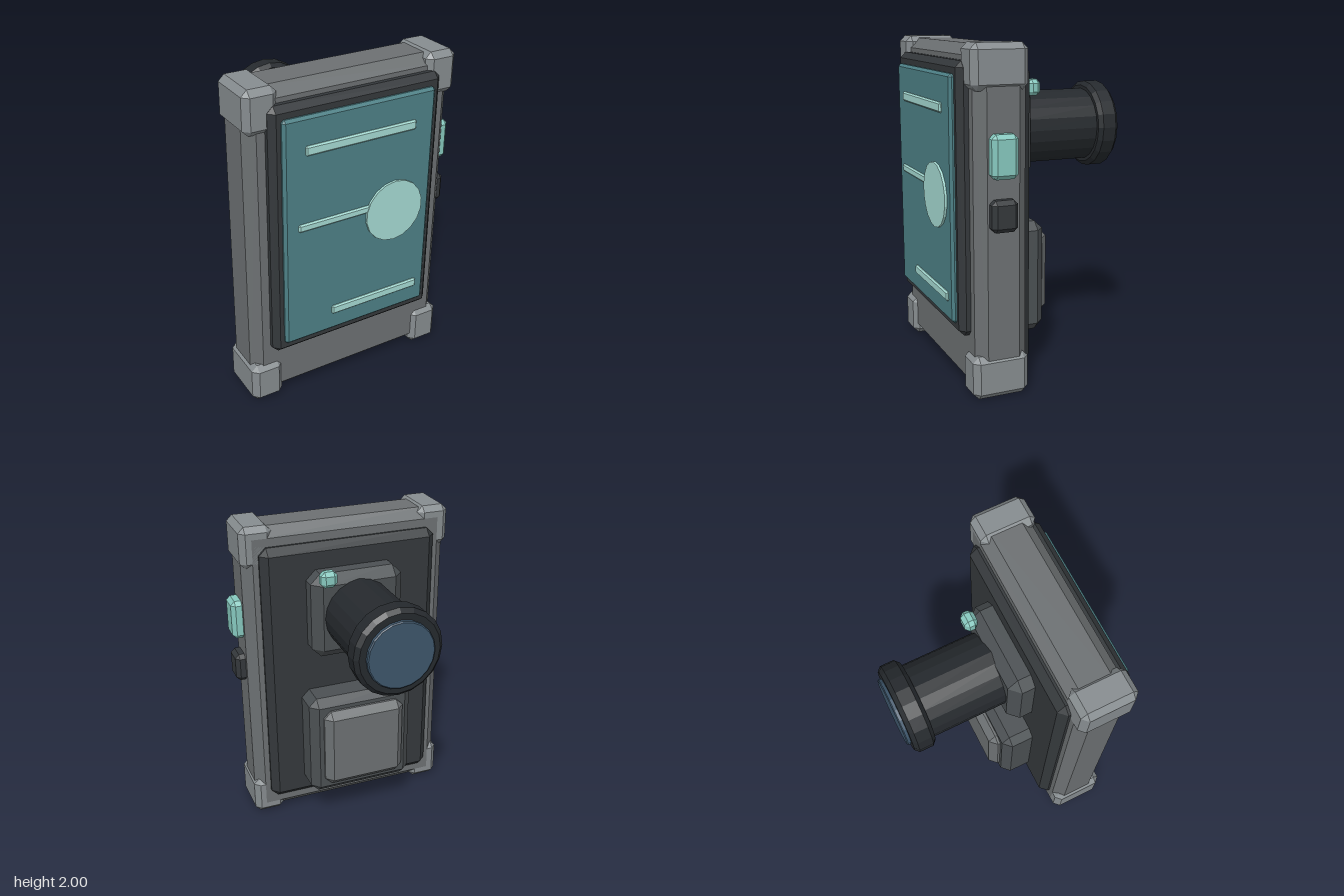
import * as THREE from 'three';
import { ConvexGeometry } from 'three/addons/geometries/ConvexGeometry.js';

const mat = (color) => new THREE.MeshStandardMaterial({ color, flatShading: true });

export function createModel() {
  const model = new THREE.Group();
  const body = mat(0x6c7072), corner = mat(0x868c8f), dark = mat(0x34383b), mid = mat(0x4b5053);
  const black = mat(0x25292d), screenTeal = mat(0x4d8086), mint = mat(0x86c8be), pale = mat(0xa5dad2), glass = mat(0x3d556a);

  function add(name, geometry, material) {
    const mesh = new THREE.Mesh(geometry, material);
    mesh.name = name;
    model.add(mesh);
    return mesh;
  }

  // Box with every edge chamfered by c, given by its extents
  function block(name, [x0, x1], [y0, y1], [z0, z1], c, material) {
    const h = [(x1 - x0) / 2, (y1 - y0) / 2, (z1 - z0) / 2];
    const points = [];
    for (const sx of [-1, 1]) for (const sy of [-1, 1]) for (const sz of [-1, 1]) {
      for (let axis = 0; axis < 3; axis++) {
        const p = h.map((v, i) => (i === axis ? v : v - c));
        points.push(new THREE.Vector3(sx * p[0], sy * p[1], sz * p[2]));
      }
    }
    const mesh = add(name, new ConvexGeometry(points), material);
    mesh.position.set((x0 + x1) / 2, (y0 + y1) / 2, (z0 + z1) / 2);
    return mesh;
  }

  // Solid turned about the z axis; profile is [radius, z] running towards -z
  function turned(name, profile, x, y, sides, material) {
    const geometry = new THREE.LatheGeometry(profile.map(([r, z]) => new THREE.Vector2(r, -z)), sides);
    geometry.rotateX(-Math.PI / 2);
    const mesh = add(name, geometry, material);
    mesh.position.set(x, y, 0);
    return mesh;
  }

  // Case and corner bumpers
  block('caseBody', [-0.685, 0.63], [0.012, 1.988], [0.2, 0.51], 0.06, body);
  for (const [x, side] of [[-0.7, 'Right'], [0.44, 'Left']]) {
    block('bottomBumper' + side, [x, x + 0.2], [0, 0.255], [0.2, 0.535], 0.035, corner);
    block('topBumper' + side, [x, x + 0.2], [1.745, 2], [0.2, 0.535], 0.035, corner);
  }

  // Screen with its bezel and markings
  block('screenBezel', [-0.575, 0.515], [0.345, 1.9], [0.46, 0.572], 0.035, dark);
  block('screen', [-0.515, 0.455], [0.415, 1.83], [0.55, 0.598], 0.016, screenTeal);
  block('screenLineTop', [-0.385, 0.325], [1.607, 1.665], [0.585, 0.611], 0.009, pale);
  block('screenLineMiddle', [-0.43, 0.15], [1.152, 1.2], [0.585, 0.609], 0.009, pale);
  block('screenLineBottom', [-0.21, 0.39], [0.53, 0.587], [0.585, 0.611], 0.009, pale);
  turned('screenDisc', [[0, 0.612], [0.192, 0.612], [0.192, 0.59], [0, 0.59]], 0.2, 1.122, 18, pale);

  // Side buttons
  block('upperSideButton', [0.6, 0.695], [1.275, 1.52], [0.285, 0.44], 0.025, mint);
  block('lowerSideButton', [0.6, 0.69], [0.98, 1.16], [0.285, 0.44], 0.025, dark);

  // Back plate
  block('backPlate', [-0.59, 0.535], [0.13, 1.875], [0.14, 0.28], 0.045, dark);

  // Lens mount, barrel, ring and glass
  block('lensMount', [-0.32, 0.265], [1.18, 1.72], [0, 0.22], 0.06, mid);
  turned('lensBarrel', [[0, 0.04], [0.224, 0.04], [0.224, -0.48], [0, -0.48]], -0.028, 1.452, 20, black);
  turned('lensRing', [[0, -0.457], [0.245, -0.457], [0.27, -0.48], [0.27, -0.565], [0.245, -0.59], [0, -0.59]],
    -0.028, 1.452, 20, black);
  turned('lensGlass', [[0, -0.58], [0.205, -0.58], [0.205, -0.607], [0.198, -0.613], [0, -0.613]], -0.028, 1.452, 20, glass);
  block('lensButton', [0.13, 0.232], [1.667, 1.765], [-0.06, 0.02], 0.024, mint);

  // Battery housing with its cover
  block('batteryHousing', [-0.37, 0.315], [0.232, 0.92], [-0.05, 0.22], 0.05, mid);
  block('batteryCover', [-0.297, 0.237], [0.31, 0.845], [-0.11, 0.02], 0.045, body);

  return model;
}
